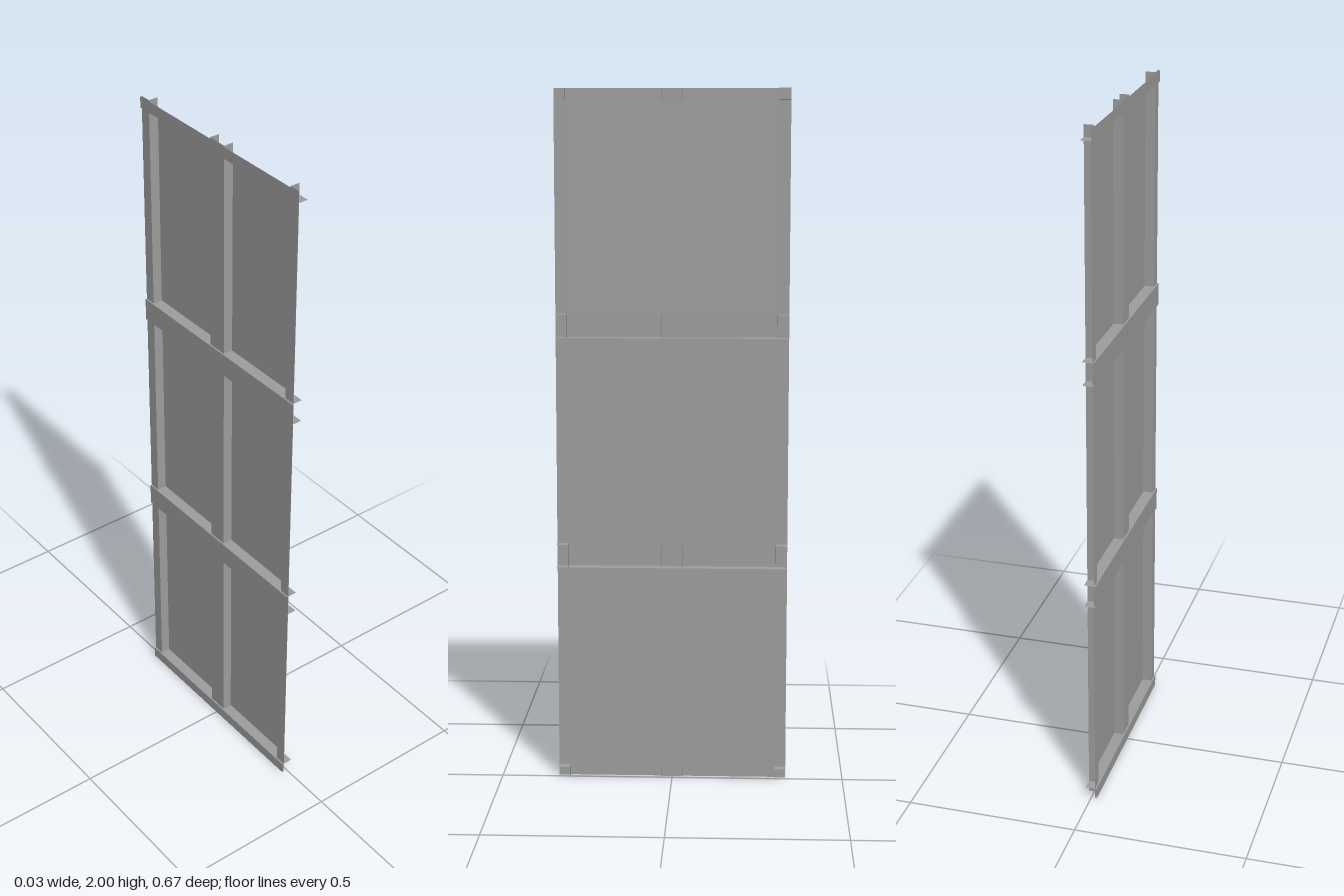
import * as THREE from 'three';

const HALF_W = 1 / 3;   // half width along z
const BORDER = 1 / 30;  // width of the frame border
const FRONT = 1 / 60;   // x of the panels
const RAIL = -1 / 60;   // x of the horizontal rails
const STILE = -0.012;   // x of the slightly recessed upright stiles
const CELL = 2 / 3;     // height of one of the three bays
const OPEN = CELL - 2 * BORDER;
const CENTRE = 0.03;    // half width of the centre stile

export function createModel() {
  const group = new THREE.Group();
  const material = new THREE.MeshStandardMaterial({
    color: 0x9d9d9d, flatShading: true, side: THREE.DoubleSide,
  });

  const add = (name, geometry, x, y, z) => {
    const mesh = new THREE.Mesh(geometry, material);
    mesh.name = name;
    mesh.position.set(x, y, z);
    group.add(mesh);
  };
  // Sheets facing along x, y and z
  const sheetX = (width, height, sign) =>
    new THREE.PlaneGeometry(width, height).rotateY(sign * Math.PI / 2);
  const sheetY = (depth, width) =>
    new THREE.PlaneGeometry(depth, width).rotateX(-Math.PI / 2);
  const sheetZ = (depth, height) => new THREE.PlaneGeometry(depth, height);

  // Horizontal rails: narrow at the bottom and top, double between the bays
  for (let i = 0; i <= 3; i++) {
    const y0 = Math.max(0, i * CELL - BORDER);
    const y1 = Math.min(2, i * CELL + BORDER);
    add('rail', sheetX(2 * HALF_W, y1 - y0, -1), RAIL, (y0 + y1) / 2, 0);
  }

  // Square panels, and the full-width strips along their top and bottom edges
  for (let i = 0; i < 3; i++) {
    const yMid = (i + 0.5) * CELL;
    add('panel', sheetX(OPEN, OPEN, 1), FRONT, yMid, 0);
    for (const side of [-1, 1]) {
      add('railEdge', sheetY(FRONT - RAIL, 2 * HALF_W), 0, yMid + side * OPEN / 2, 0);
    }
  }

  // Upright stiles with the strips along their edges
  const edgeX = (FRONT + STILE) / 2;
  add('centreStile', sheetX(2 * CENTRE, 2, -1), STILE, 1, 0);
  for (const side of [-1, 1]) {
    add('outerStile', sheetX(BORDER, 2, -1), STILE, 1, side * (HALF_W - BORDER / 2));
    add('outerStileEdge', sheetZ(FRONT - STILE, 2), edgeX, 1, side * OPEN / 2);
    add('centreStileEdge', sheetZ(FRONT - STILE, 2), edgeX, 1, side * CENTRE);
  }
  return group;
}
